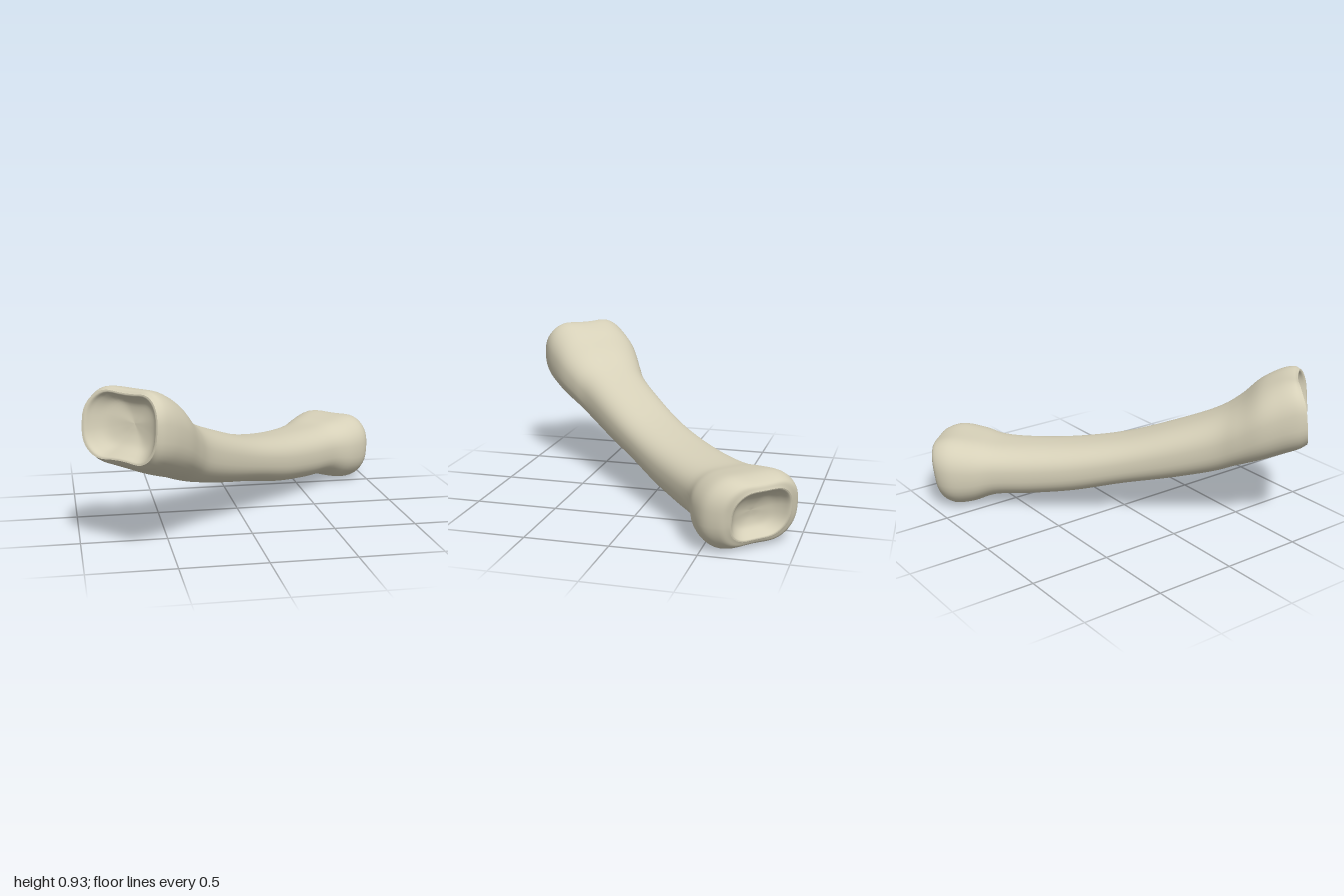
import * as THREE from 'three';

const SIDES = 48;
const AXIS = new THREE.Vector3(1, 0, -1).normalize(); // along the bone
const SIDE = new THREE.Vector3(1, 0, 1).normalize();  // across the bone

// Rounded cross-section; scale and depth let the same rim be shrunk into a socket.
function ring({ s, v0, v1, top, bot, lean = 0, saddle = 0, dip = 0, round = 0.8 }, scale = 1, depth = 0) {
  const points = [];
  const soften = (t) => Math.sign(t) * Math.pow(Math.abs(t), round);
  for (let i = 0; i < SIDES; i++) {
    const a = (i / SIDES) * Math.PI * 2;
    const c = Math.cos(a), n = Math.sin(a);
    const groove = 1 - dip * Math.pow(Math.abs(n), 16); // shallow groove above and below
    const v = (v0 + v1) / 2 + ((v1 - v0) / 2) * soften(c) * scale;
    const y = (top + bot) / 2 + ((top - bot) / 2) * soften(n) * groove * scale;
    const along = s + depth + (lean * n + saddle * Math.cos(2 * a)) * scale;
    points.push(new THREE.Vector3(0, y, 0).addScaledVector(AXIS, along).addScaledVector(SIDE, v));
  }
  return points;
}

// Smooth skin through a list of rings.
function loft(rings, steps) {
  const count = (rings.length - 1) * steps + 1;
  const positions = [], index = [];
  const curves = rings[0].map((_, j) => new THREE.CatmullRomCurve3(rings.map((r) => r[j]), false, 'catmullrom', 0.5));
  for (let i = 0; i < count; i++) {
    for (const curve of curves) positions.push(...curve.getPoint(i / (count - 1)).toArray());
  }
  for (let i = 0; i < count - 1; i++) {
    for (let j = 0; j < SIDES; j++) {
      const k = (j + 1) % SIDES;
      const a = i * SIDES + j, b = a + SIDES, c = i * SIDES + k, d = c + SIDES;
      index.push(a, b, c, b, d, c);
    }
  }
  const geometry = new THREE.BufferGeometry();
  geometry.setAttribute('position', new THREE.Float32BufferAttribute(positions, 3));
  geometry.setIndex(index);
  geometry.computeVertexNormals();
  return geometry;
}

export function createModel() {
  const group = new THREE.Group();
  group.name = 'bone';
  const material = new THREE.MeshStandardMaterial({ color: 0xd6d0b8 });
  const add = (name, geometry) => {
    const mesh = new THREE.Mesh(geometry, material);
    mesh.name = name;
    group.add(mesh);
  };

  // Sections from the raised end to the lower end
  const sections = [
    { s: -1.09, v0: -0.27, v1: 0.26, top: 0.95, bot: 0.54, lean: 0.035, saddle: -0.015, dip: 0.13, round: 0.75 },
    { s: -1.04, v0: -0.29, v1: 0.28, top: 0.965, bot: 0.51, lean: 0.03, dip: 0.1, round: 0.75 },
    { s: -0.95, v0: -0.3, v1: 0.29, top: 0.945, bot: 0.47, lean: 0.02, dip: 0.06 },
    { s: -0.83, v0: -0.3, v1: 0.28, top: 0.88, bot: 0.425, lean: 0.01 },
    { s: -0.7, v0: -0.27, v1: 0.245, top: 0.77, bot: 0.38 },
    { s: -0.56, v0: -0.235, v1: 0.215, top: 0.685, bot: 0.325 },
    { s: -0.3, v0: -0.215, v1: 0.21, top: 0.585, bot: 0.26 },
    { s: 0, v0: -0.2, v1: 0.21, top: 0.49, bot: 0.2 },
    { s: 0.3, v0: -0.2, v1: 0.22, top: 0.435, bot: 0.13 },
    { s: 0.58, v0: -0.205, v1: 0.235, top: 0.41, bot: 0.09 },
    { s: 0.8, v0: -0.22, v1: 0.26, top: 0.41, bot: 0.07, dip: 0.03 },
    { s: 0.94, v0: -0.25, v1: 0.32, top: 0.435, bot: 0.015, dip: 0.06 },
    { s: 1.07, v0: -0.265, v1: 0.335, top: 0.455, bot: -0.005, lean: 0.025, dip: 0.09 },
    { s: 1.155, v0: -0.235, v1: 0.28, top: 0.425, bot: 0.02, lean: 0.04, dip: 0.09 },
    { s: 1.175, v0: -0.18, v1: 0.22, top: 0.38, bot: 0.055, lean: 0.04, dip: 0.06 },
  ];
  add('shaft', loft(sections.map((r) => ring(r)), 5));

  // Hollow joint sockets, each starting from its rim
  const upper = sections[0], lower = sections[sections.length - 1];
  const upperSteps = [[0, 0.12], [0.35, 0.11], [0.65, 0.085], [0.85, 0.035], [0.93, 0.005], [1, 0]];
  add('upperSocket', loft(upperSteps.map(([k, d]) => ring(upper, k, d)), 4));
  const lowerSteps = [[1, 0], [0.93, -0.005], [0.8, -0.04], [0.6, -0.075], [0.3, -0.095], [0, -0.1]];
  add('lowerSocket', loft(lowerSteps.map(([k, d]) => ring(lower, k, d)), 4));

  return group;
}
